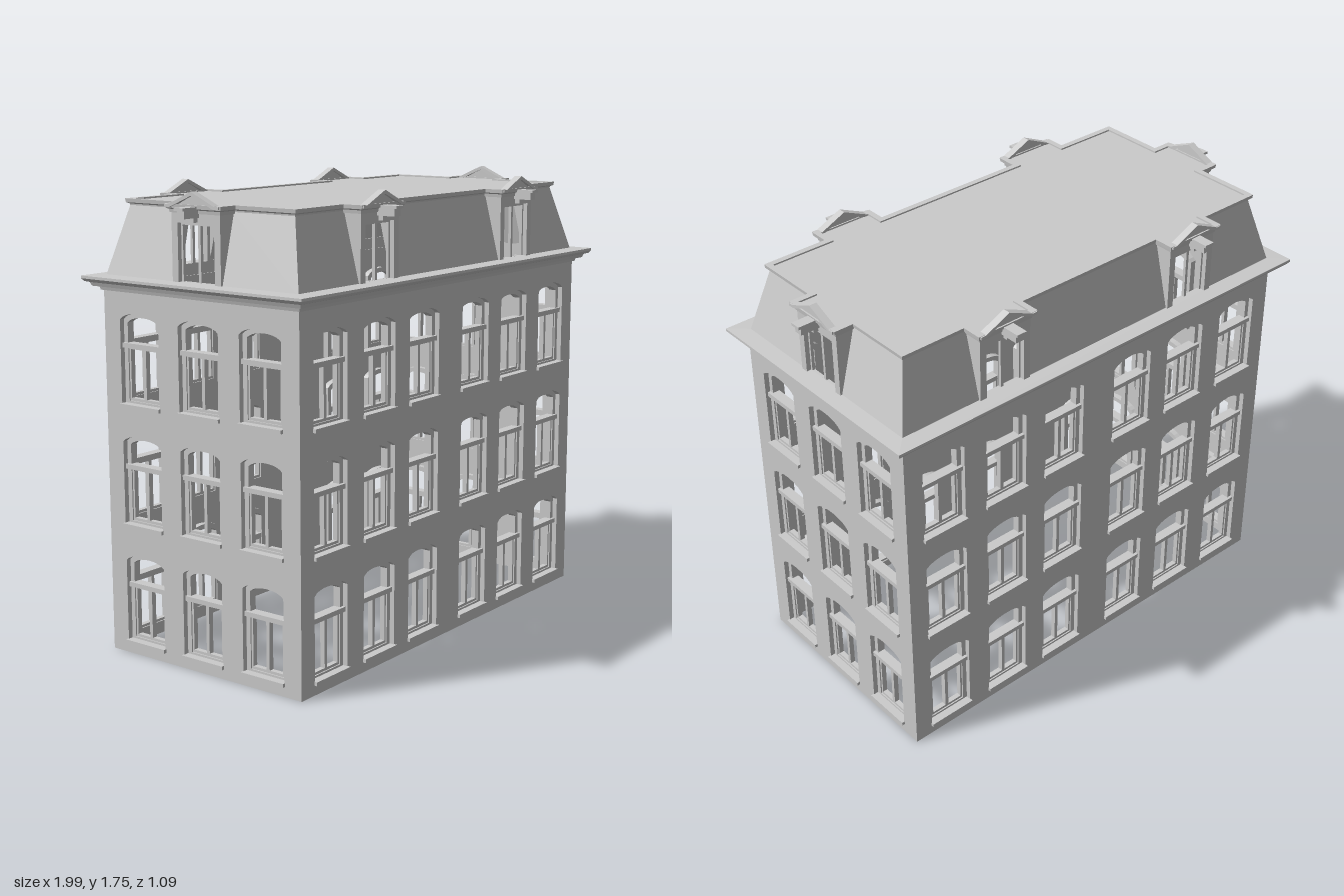
import * as THREE from 'three';

const material = new THREE.MeshStandardMaterial({ color: 0xcccccc, flatShading: true, side: THREE.DoubleSide });

const HALF_W = 0.91, HALF_D = 0.457;        // wall half sizes
const WALL_TOP = 1.385, EAVES = 1.42, ROOF = 1.7;
const SLOPE_IN = 0.075;                     // how far the mansard leans in
const DORMER = 0.113;                       // half width of a dormer
const FLOORS = [0.045, 0.5, 0.955];         // window base heights

// The four sides, each modelled facing +z and then turned
const SIDES = [0, 1, 2, 3].map((i) => ({
  name: ['front', 'left', 'back', 'right'][i],
  angle: (i * Math.PI) / 2,
  half: i % 2 ? HALF_D : HALF_W,
  depth: i % 2 ? HALF_W : HALF_D,
  windows: i % 2 ? [-0.285, 0, 0.285] : [-0.74, -0.453, -0.172, 0.172, 0.453, 0.74],
  dormers: i % 2 ? [0] : [-0.455, 0.455],
}));

function add(parent, name, geometry, x = 0, y = 0, z = 0) {
  const mesh = new THREE.Mesh(geometry, material);
  mesh.name = name;
  mesh.position.set(x, y, z);
  parent.add(mesh);
  return mesh;
}

const box = (parent, name, w, h, d, x, y, z) => add(parent, name, new THREE.BoxGeometry(w, h, d), x, y, z);

const extrude = (shape, depth) =>
  new THREE.ExtrudeGeometry(shape, { depth, bevelEnabled: false, curveSegments: 10 });

const polygon = (points) => new THREE.Shape(points.map(([x, y]) => new THREE.Vector2(x, y)));

const rectangle = (x0, y0, x1, y1) => polygon([[x0, y0], [x1, y0], [x1, y1], [x0, y1]]);

// Window outline with a flat arched head
function arch(x, y, half, bottom, spring, rise) {
  const s = new THREE.Shape();
  const c = y + spring + rise / 0.75;
  s.moveTo(x - half, y + bottom);
  s.lineTo(x + half, y + bottom);
  s.lineTo(x + half, y + spring);
  s.bezierCurveTo(x + half * 0.65, c, x - half * 0.65, c, x - half, y + spring);
  s.closePath();
  return s;
}

// Mitred moulding: a closed (offset, y) profile run round a closed right-angled plan
function moulding(path, profile) {
  const n = path.length, m = profile.length, pos = [], index = [];
  const normal = (a, b) => {
    const dx = b[0] - a[0], dz = b[1] - a[1], l = Math.hypot(dx, dz);
    return [-dz / l, dx / l];
  };
  path.forEach((p, i) => {
    const a = normal(path[(i + n - 1) % n], p), b = normal(p, path[(i + 1) % n]);
    profile.forEach(([o, y], j) => {
      pos.push(p[0] + (a[0] + b[0]) * o, y, p[1] + (a[1] + b[1]) * o);
      const k = ((i + 1) % n) * m, j2 = (j + 1) % m;
      index.push(i * m + j, k + j, k + j2, i * m + j, k + j2, i * m + j2);
    });
  });
  const g = new THREE.BufferGeometry();
  g.setAttribute('position', new THREE.Float32BufferAttribute(pos, 3));
  g.setIndex(index);
  const flat = g.toNonIndexed();
  flat.computeVertexNormals();
  return flat;
}

// Plan outline assembled from a list of (u, depth) points per side
const plan = (pointsOf) => SIDES.flatMap((s) => pointsOf(s).map(([u, d]) => {
  const c = Math.round(Math.cos(s.angle)), n = Math.round(Math.sin(s.angle));
  return [u * c + d * n, -u * n + d * c];
}));

// Arched window: recessed frame, transom, two casements and a sill
function makeWindow() {
  const g = new THREE.Group();
  g.name = 'window';
  const frame = arch(0, 0, 0.097, -0.002, 0.317, 0.03);
  frame.holes.push(arch(0, 0, 0.076, 0.015, 0.305, 0.022));
  add(g, 'frame', extrude(frame, 0.03), 0, 0, -0.05);
  box(g, 'transom', 0.186, 0.018, 0.04, 0, 0.222, -0.028);
  for (const s of [-1, 1]) {
    const sash = rectangle(Math.min(0, s * 0.08), 0.01, Math.max(0, s * 0.08), 0.217);
    sash.holes.push(rectangle(s < 0 ? -0.068 : 0.007, 0.025, s < 0 ? -0.007 : 0.068, 0.207));
    add(g, 'casement', extrude(sash, 0.02), 0, 0, -0.045);
  }
  box(g, 'sill', 0.196, 0.014, 0.06, 0, 0, -0.018);
  return g;
}

// Dormer: pierced face, cheeks, casements, gable and bracket
function makeDormer() {
  const g = new THREE.Group();
  g.name = 'dormer';
  const face = rectangle(-DORMER, EAVES, DORMER, ROOF - 0.01);
  face.holes.push(rectangle(-0.085, EAVES + 0.005, 0.085, 1.64));
  add(g, 'dormerFace', extrude(face, 0.025), 0, 0, -0.025);
  const cheek = polygon([[0, EAVES], [0, ROOF - 0.01], [-SLOPE_IN - 0.01, ROOF - 0.01], [-0.02, EAVES]]);
  for (const s of [-1, 1]) {
    const c = add(g, 'cheek', extrude(cheek, 0.015), s < 0 ? -DORMER + 0.015 : DORMER);
    c.rotation.y = -Math.PI / 2;
    const sash = rectangle(s < 0 ? -0.087 : 0, EAVES, s < 0 ? 0 : 0.087, 1.645);
    sash.holes.push(rectangle(s < 0 ? -0.077 : 0.006, EAVES + 0.012, s < 0 ? -0.006 : 0.077, 1.632));
    add(g, 'dormerCasement', extrude(sash, 0.012), 0, 0, -0.03);
  }
  add(g, 'gable', extrude(polygon([[-0.1, 1.69], [0.1, 1.69], [0, 1.74]]), 0.012));
  const rake = polygon([[-0.125, 1.695], [-0.1, 1.695], [0, 1.738], [0.1, 1.695], [0.125, 1.695],
    [0.125, 1.705], [0.105, 1.705], [0, 1.752], [-0.105, 1.705], [-0.125, 1.705]]);
  add(g, 'gableMoulding', extrude(rake, 0.03), 0, 0, -0.007);
  box(g, 'bracketCap', 0.042, 0.01, 0.086, 0, 1.695, 0.043);
  box(g, 'bracket', 0.034, 0.03, 0.075, 0, 1.677, 0.0375);
  box(g, 'bracketFoot', 0.018, 0.02, 0.02, 0, 1.655, 0.01);
  return g;
}

// Leaning mansard face, left open behind the dormers
function slopeGeometry({ half, depth, dormers }) {
  const b = half - 0.005, t = half - SLOPE_IN, top = ROOF - 0.01;
  const s = polygon([[-b, EAVES], [b, EAVES], [t, top], [-t, top]]);
  for (const x of dormers) s.holes.push(rectangle(x - 0.1, EAVES + 0.003, x + 0.1, top - 0.003));
  const g = new THREE.ShapeGeometry(s);
  const p = g.attributes.position;
  for (let i = 0; i < p.count; i++) {
    const k = (p.getY(i) - EAVES) / (top - EAVES);
    p.setZ(i, depth - 0.005 - k * (SLOPE_IN - 0.005));
  }
  g.computeVertexNormals();
  return g;
}

export function createModel() {
  const model = new THREE.Group();
  model.name = 'townhouseBlock';
  const windowUnit = makeWindow(), dormerUnit = makeDormer();

  for (const side of SIDES) {
    const g = new THREE.Group();
    g.name = side.name + 'Side';
    g.rotation.y = side.angle;
    model.add(g);

    // Wall with arched openings
    const wall = rectangle(-side.half, 0, side.half, WALL_TOP);
    for (const x of side.windows) for (const y of FLOORS) {
      wall.holes.push(arch(x, y, 0.095, 0, 0.317, 0.028));
      const w = windowUnit.clone();
      w.position.set(x, y, side.depth);
      g.add(w);
    }
    add(g, 'wall', extrude(wall, 0.025), 0, 0, side.depth - 0.025);

    // Mansard face and dormers
    add(g, 'mansardSlope', slopeGeometry(side));
    for (const x of side.dormers) {
      const d = dormerUnit.clone();
      d.position.set(x, 0, side.depth);
      g.add(d);
    }
  }

  // Main cornice, stepped outwards
  const eaves = plan((s) => [[-s.half, s.depth]]);
  add(model, 'mainCornice', moulding(eaves, [[-0.02, 1.375], [0.008, 1.375], [0.012, 1.388], [0.03, 1.39],
    [0.036, 1.404], [0.05, 1.408], [0.058, 1.418], [0.058, 1.428], [-0.02, 1.432]]));

  // Flat roof stepping out over the dormers, with an edge moulding
  const IN = 0.088;
  const roofEdge = plan((s) => [
    [-s.half + IN - 0.01, s.depth - IN + 0.01],
    ...s.dormers.flatMap((x) => [
      [x - DORMER, s.depth - IN + 0.01], [x - DORMER, s.depth],
      [x + DORMER, s.depth], [x + DORMER, s.depth - IN + 0.01]]),
  ]);
  add(model, 'roofMoulding', moulding(roofEdge, [[-0.005, 1.675], [0.004, 1.675], [0.006, 1.687],
    [0.016, 1.692], [0.018, 1.706], [-0.005, 1.706]]));
  const roof = new THREE.ShapeGeometry(polygon(roofEdge.map(([x, z]) => [x, -z])));
  roof.rotateX(-Math.PI / 2);
  add(model, 'flatRoof', roof, 0, ROOF, 0);

  return model;
}
